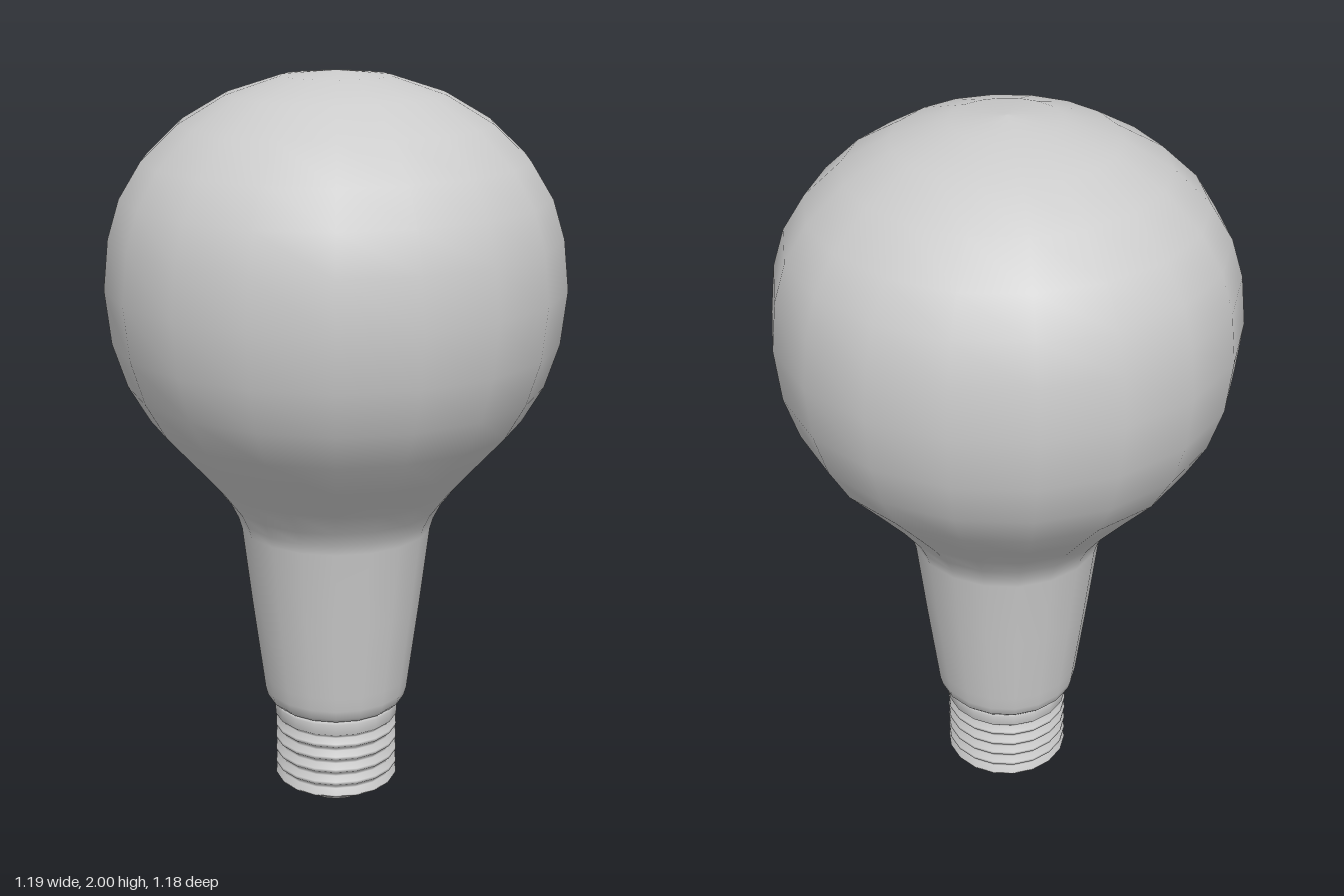
import * as THREE from 'three';

const SIDES = 18;

// Revolves a bottom-to-top [radius, height] profile, with a corner on the x axis
function turned(name, profile) {
  const points = profile.map(([r, y]) => new THREE.Vector2(r, y));
  const geometry = new THREE.LatheGeometry(points, SIDES, Math.PI / 2);
  const material = new THREE.MeshStandardMaterial({ color: 0xcccccc, side: THREE.DoubleSide });
  const mesh = new THREE.Mesh(geometry, material);
  mesh.name = name;
  return mesh;
}

export function createModel() {
  const group = new THREE.Group();
  group.name = 'lightBulb';

  // Glass envelope: rounded shoulder, tapering neck, flared cone and globe
  group.add(turned('glassBulb', [
    [0.155, 0.283], [0.175, 0.29], [0.19, 0.305], [0.197, 0.33], [0.202, 0.37],
    [0.229, 0.58], [0.255, 0.8], [0.264, 0.83], [0.283, 0.868], [0.33, 0.93],
    [0.4, 1.01], [0.49, 1.11], [0.545, 1.205], [0.582, 1.32], [0.597, 1.46],
    [0.583, 1.59], [0.552, 1.69], [0.495, 1.782], [0.4, 1.872], [0.28, 1.942],
    [0.14, 1.987], [0, 2],
  ]));

  // Screw base: rolled lower lip, rounded threads and a plain band on top
  const screw = [[0.125, 0.06], [0.166, 0.06], [0.17, 0.067]];
  const ridges = 4, pitch = 0.038, start = 0.072;
  for (let i = 0; i < ridges; i++) {
    const y = start + i * pitch;
    screw.push([0.157, y + 0.01], [0.159, y + 0.018], [0.169, y + 0.026], [0.169, y + 0.034]);
  }
  screw.push([0.157, 0.234], [0.161, 0.241], [0.17, 0.248], [0.17, 0.278], [0.166, 0.284], [0.15, 0.284]);
  group.add(turned('screwBase', screw));

  // Domed contact under the base
  group.add(turned('bottomContact', [
    [0, 0], [0.05, 0.004], [0.09, 0.014], [0.118, 0.035], [0.135, 0.05], [0.165, 0.061],
  ]));

  return group;
}
